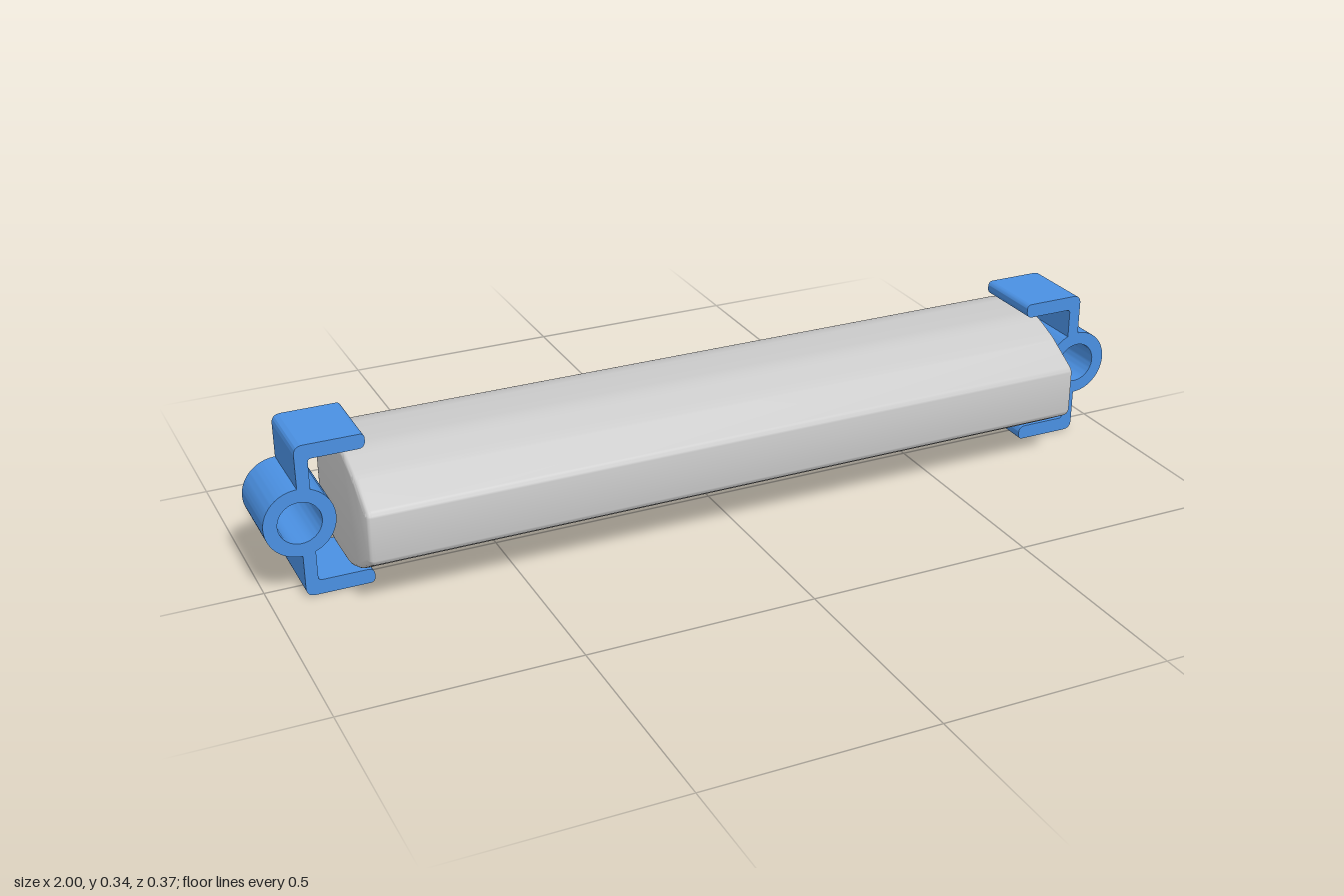
import * as THREE from 'three';
import { toCreasedNormals } from 'three/addons/utils/BufferGeometryUtils.js';

const MID = 0.169; // height of the long axis

// Continue a path through [x, y, cornerRadius] points, rounding each corner.
function roundedRun(shape, pts, closed) {
  const n = pts.length;
  pts.forEach(([x, y, r], i) => {
    const corner = new THREE.Vector2(x, y);
    if (!r || (!closed && (i === 0 || i === n - 1))) {
      if (i === 0 && closed) shape.moveTo(x, y);
      else shape.lineTo(x, y);
      return;
    }
    const toward = (q) => new THREE.Vector2(q[0] - x, q[1] - y).setLength(r).add(corner);
    const a = toward(pts[(i + n - 1) % n]);
    const b = toward(pts[(i + 1) % n]);
    if (i === 0 && closed) shape.moveTo(a.x, a.y);
    else shape.lineTo(a.x, a.y);
    shape.quadraticCurveTo(x, y, b.x, b.y);
  });
  if (closed) shape.closePath();
}

// Long housing: tapered front, blunt back, softly bevelled ends.
function makeBody(material) {
  const upper = [
    [0.184, 0.055, 0.012],
    [0.1, 0.105, 0.012],
    [0.03, 0.133, 0.025],
    [-0.095, 0.133, 0.025],
    [-0.161, 0.109, 0.015],
    [-0.183, 0.052, 0.012],
  ];
  const lower = upper.map(([z, y, r]) => [z, -y, r]).reverse();
  const shape = new THREE.Shape();
  roundedRun(shape, [...upper, ...lower], true);
  const bevel = 0.012;
  const length = 1.65;
  const geometry = new THREE.ExtrudeGeometry(shape, {
    depth: length - 2 * bevel,
    curveSegments: 5,
    bevelThickness: bevel,
    bevelSize: bevel,
    bevelOffset: -bevel,
    bevelSegments: 4,
  });
  geometry.translate(0, 0, bevel - length / 2);
  geometry.rotateY(-Math.PI / 2);
  const mesh = new THREE.Mesh(toCreasedNormals(geometry, 0.6), material);
  mesh.name = 'body';
  mesh.position.y = MID;
  return mesh;
}

// C-shaped end clip with a mounting ring, cut from one profile.
function makeClipGeometry() {
  const ringX = 0.925, ringR = 0.075, holeR = 0.046;
  const inX = 0.898, outX = 0.925, tipX = 0.78;
  const top = 0.169, under = 0.137;
  const dyIn = Math.sqrt(ringR ** 2 - (inX - ringX) ** 2);
  const angIn = Math.atan2(dyIn, inX - ringX);

  const shape = new THREE.Shape();
  shape.moveTo(outX, ringR);
  // upper jaw, from the outside of the plate round to its inside
  const jaw = [
    [outX, ringR, 0],
    [outX, top, 0.02],
    [tipX, top, 0.012],
    [tipX, under, 0.016],
    [inX, under, 0.008],
    [inX, dyIn, 0],
  ];
  roundedRun(shape, jaw, false);
  // inner half of the ring
  shape.absarc(ringX, 0, ringR, angIn, 2 * Math.PI - angIn, false);
  // lower jaw
  roundedRun(shape, jaw.map(([x, y, r]) => [x, -y, r]).reverse(), false);
  // outer half of the ring
  shape.absarc(ringX, 0, ringR, -Math.PI / 2, Math.PI / 2, false);

  const hole = new THREE.Path();
  hole.absarc(ringX, 0, holeR, 0, Math.PI * 2, true);
  shape.holes.push(hole);

  const geometry = new THREE.ExtrudeGeometry(shape, {
    depth: 0.165, curveSegments: 24, bevelEnabled: false,
  });
  geometry.translate(0, 0, -0.114);
  return toCreasedNormals(geometry, 0.6);
}

export function createModel() {
  const model = new THREE.Group();
  model.name = 'barWithEndClips';
  const grey = new THREE.MeshStandardMaterial({ color: 0xcccccc });
  const blue = new THREE.MeshStandardMaterial({ color: 0x4a90e2 });

  model.add(makeBody(grey));

  // one clip per end, the second turned half round the z axis
  const clipGeometry = makeClipGeometry();
  ['leftClip', 'rightClip'].forEach((name, i) => {
    const clip = new THREE.Mesh(clipGeometry, blue);
    clip.name = name;
    clip.position.y = MID;
    clip.rotation.z = i * Math.PI;
    model.add(clip);
  });
  return model;
}
